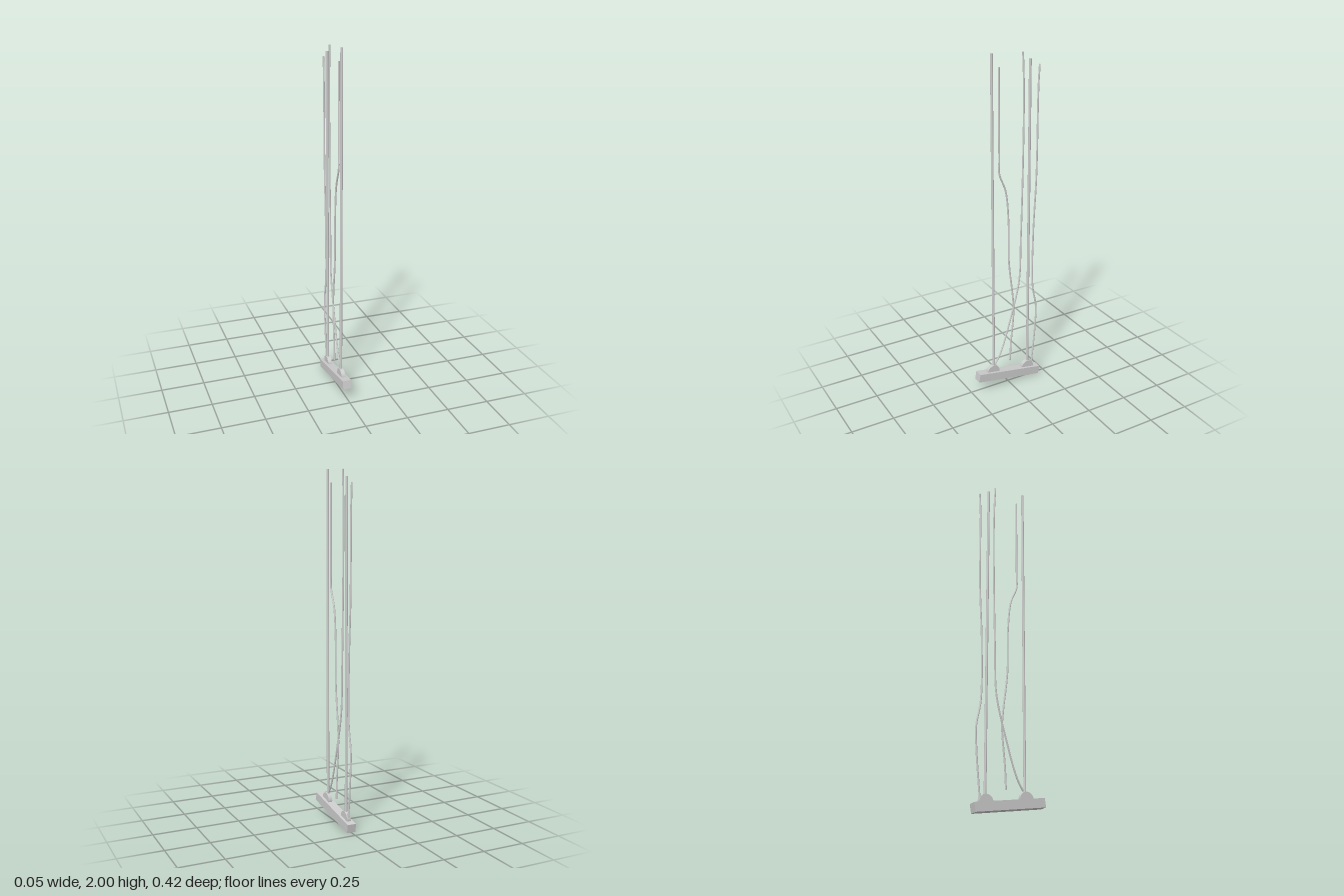
import * as THREE from 'three';

export function createModel() {
  const model = new THREE.Group();
  const material = new THREE.MeshStandardMaterial({ color: 0xcccccc });
  const add = (parent, name, geometry, x = 0, y = 0, z = 0) => {
    const mesh = new THREE.Mesh(geometry, material);
    mesh.name = name;
    mesh.position.set(x, y, z);
    parent.add(mesh);
    return mesh;
  };

  // Tilted beam carrying two round mounts
  const base = new THREE.Group();
  base.name = 'base';
  base.position.y = 0.06;
  base.rotation.x = -0.168;
  model.add(base);
  add(base, 'beam', new THREE.BoxGeometry(0.052, 0.05, 0.4165));
  for (const [name, z] of [['frontMount', 0.109], ['backMount', -0.131]]) {
    const disc = new THREE.CylinderGeometry(0.04, 0.04, 0.023, 32).rotateZ(Math.PI / 2);
    add(base, name, disc, 0, 0.026, z);
  }

  // Straight upright rods
  for (const [name, z, bottom, top] of [['frontRod', 0.096, 0.13, 2], ['backRod', -0.137, 0.09, 1.95]]) {
    const rod = new THREE.CylinderGeometry(0.0075, 0.0075, top - bottom, 20);
    add(model, name, rod, 0, (top + bottom) / 2, z);
  }

  // Wavy wires, each a list of [z, y] points from top to bottom
  const wires = {
    looseWire: [[0.053, 1.925], [0.053, 1.65], [0.053, 1.42], [0.053, 1.345], [0.013, 1.235], [-0.005, 1.05],
      [-0.008, 0.8], [-0.034, 0.57], [-0.04, 0.47], [-0.022, 0.26], [-0.016, 0.14]],
    crossingWire: [[-0.092, 1.99], [-0.099, 1.8], [-0.097, 1.4], [-0.086, 0.92], [-0.076, 0.66],
      [-0.023, 0.44], [0.05, 0.21], [0.088, 0.145]],
    backWire: [[-0.196, 1.915], [-0.19, 1.8], [-0.185, 1.3], [-0.169, 0.95], [-0.169, 0.61],
      [-0.194, 0.46], [-0.19, 0.33], [-0.167, 0.075]],
  };
  const radius = 0.005;
  for (const [name, points] of Object.entries(wires)) {
    const path = new THREE.CatmullRomCurve3(points.map(([z, y]) => new THREE.Vector3(0, y, z)));
    const wire = new THREE.Group();
    wire.name = name;
    model.add(wire);
    add(wire, name + 'Strand', new THREE.TubeGeometry(path, 90, radius, 10));
    // Flat end caps
    for (const t of [0, 1]) {
      const cap = add(wire, name + 'Cap', new THREE.CircleGeometry(radius, 10));
      const end = path.getPointAt(t);
      cap.position.copy(end);
      cap.lookAt(end.clone().addScaledVector(path.getTangentAt(t), t ? 1 : -1));
    }
  }

  return model;
}
